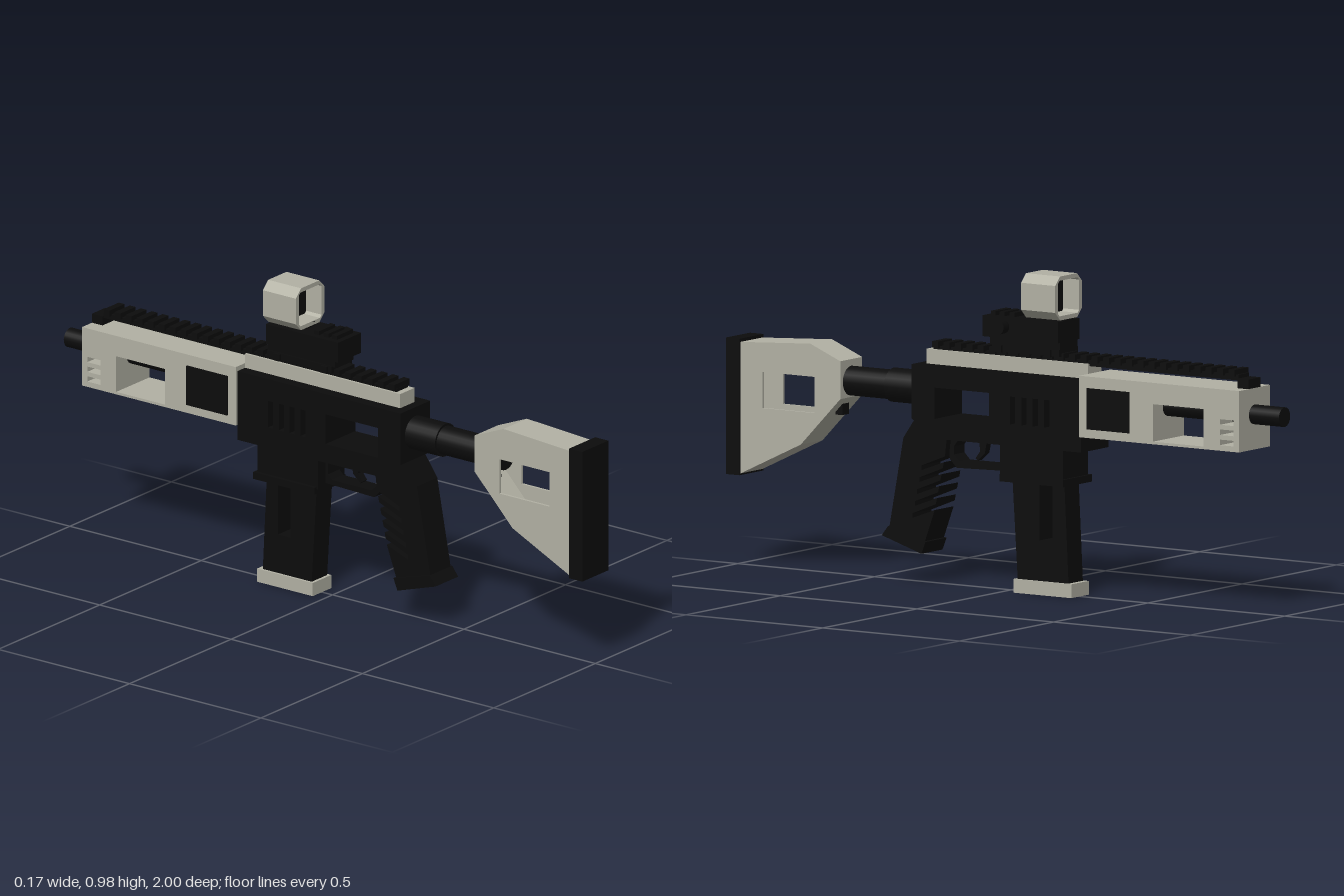
import * as THREE from 'three';

export function createModel() {
  const root = new THREE.Group();
  const black = new THREE.MeshStandardMaterial({ color: 0x0c0c0c });
  black.name = 'black';
  const grey = new THREE.MeshStandardMaterial({ color: 0xb2b1a4 });
  grey.name = 'warm grey';

  const add = (name, geo, mat) => {
    const m = new THREE.Mesh(geo, mat);
    m.name = name;
    root.add(m);
    return m;
  };
  // Box from ranges on each axis
  const box = (name, mat, [x0, x1], [y0, y1], [z0, z1]) => {
    const g = new THREE.BoxGeometry(x1 - x0, y1 - y0, z1 - z0);
    g.translate((x0 + x1) / 2, (y0 + y1) / 2, (z0 + z1) / 2);
    return add(name, g, mat);
  };
  const sym = h => [-h, h];
  const rect = (z0, z1, y0, y1) => [[z0, y0], [z1, y0], [z1, y1], [z0, y1]];
  const vec = pts => pts.map(p => new THREE.Vector2(p[0], p[1]));
  // Side profile of [z, y] points, extruded across x
  const side = (name, mat, pts, half, holes = [], x = 0) => {
    const s = new THREE.Shape(vec(pts));
    holes.forEach(h => s.holes.push(new THREE.Path(vec(h))));
    const g = new THREE.ExtrudeGeometry(s, { depth: half * 2, bevelEnabled: false });
    g.translate(0, 0, -half);
    g.rotateY(-Math.PI / 2);
    g.translate(x, 0, 0);
    return add(name, g, mat);
  };
  // Cylinder along z
  const tube = (name, mat, r, y, z0, z1) => {
    const g = new THREE.CylinderGeometry(r, r, z1 - z0, 24);
    g.rotateX(Math.PI / 2);
    g.translate(0, y, (z0 + z1) / 2);
    return add(name, g, mat);
  };

  // Stock: hollow shell with a window in each side plate
  const stock = [[0.95, 0.685], [0.695, 0.7], [0.585, 0.655], [0.585, 0.54], [0.73, 0.39], [0.95, 0.285]];
  const inner = [[0.95, 0.3], [0.735, 0.403], [0.597, 0.545], [0.597, 0.647], [0.697, 0.688], [0.95, 0.673]];
  side('stockRim', grey, [...stock, ...inner], 0.05);
  for (const s of [-1, 1]) {
    side('stockSide', grey, stock, 0.004, [rect(0.68, 0.87, 0.49, 0.6)], s * 0.054);
  }
  box('buttPad', black, sym(0.064), [0.28, 0.695], [0.95, 1]);
  box('stockLever', black, sym(0.018), [0.485, 0.52], [0.605, 0.63]);
  tube('bufferTube', black, 0.045, 0.59, 0.43, 0.66);
  tube('bufferTubeCollar', black, 0.052, 0.59, 0.3, 0.43);

  // Receiver with side window and four vent slots
  const slots = [0, 1, 2, 3].map(i => rect(-0.065 - i * 0.0415, -0.046 - i * 0.0415, 0.515, 0.6));
  side('receiver', black, [
    [0.315, 0.67], [-0.305, 0.67], [-0.305, 0.45], [0.22, 0.45], [0.315, 0.505]
  ], 0.073, [rect(0.03, 0.23, 0.51, 0.605), ...slots]);
  box('magazineWell', black, sym(0.066), [0.355, 0.45], [-0.235, -0.005]);
  box('magazineWellFlange', black, sym(0.077), [0.34, 0.362], [-0.243, -0.01]);

  // Trigger and guard
  side('triggerGuard', black, [[0.215, 0.46], [-0.01, 0.46], [-0.01, 0.365], [0.18, 0.36], [0.205, 0.385]], 0.028,
    [[[0.19, 0.425], [0.175, 0.445], [0.025, 0.445], [0.005, 0.43], [0.005, 0.395], [0.02, 0.38], [0.17, 0.38], [0.19, 0.4]]]);
  side('trigger', black, [[0.11, 0.45], [0.08, 0.45], [0.088, 0.41], [0.115, 0.385], [0.122, 0.392], [0.105, 0.415]], 0.012);

  // Grip, with slanted notches cut into its forward edge
  const edge = y => 0.2 + (0.43 - y) * 0.225;
  const grip = [[0.315, 0.505], [0.36, 0.44], [0.412, 0.16], [0.285, 0.12]];
  for (let i = 4; i >= 0; i--) {
    const y = 0.395 - i * 0.037;
    grip.push([edge(y - 0.018), y - 0.018], [edge(y) + 0.085, y - 0.048],
      [edge(y) + 0.085, y - 0.034], [edge(y), y]);
  }
  grip.push([0.2, 0.46]);
  side('grip', black, grip, 0.05);
  side('gripBase', black, [[0.412, 0.168], [0.435, 0.138], [0.29, 0.093], [0.275, 0.13]], 0.056);

  // Magazine
  side('magazine', black, [[-0.03, 0.36], [-0.05, 0.04], [-0.236, 0.04], [-0.22, 0.36]], 0.038,
    [rect(-0.178, -0.13, 0.165, 0.34)]);
  box('magazineBase', grey, sym(0.046), [0, 0.042], [-0.252, -0.04]);

  // Handguard with side opening, vents and dark panels
  const vents = [0.515, 0.546, 0.577].map(y => rect(-0.87, -0.82, y, y + 0.017));
  side('handguard', grey, rect(-0.89, -0.305, 0.498, 0.685), 0.082,
    [rect(-0.76, -0.575, 0.506, 0.62), ...vents]);
  for (const s of [-1, 1]) {
    const p = box('handguardPanel', black, [-0.004, 0.004], [0.525, 0.65], [-0.49, -0.335]);
    p.position.x = s * 0.083;
  }
  tube('barrel', black, 0.03, 0.605, -1, -0.3);

  // Top rail with evenly spaced teeth
  box('railBase', grey, sym(0.036), [0.67, 0.715], [-0.305, 0.285]);
  box('railBar', black, sym(0.028), [0.708, 0.725], [-0.85, 0.265]);
  for (let i = 0; i < 27; i++) {
    const z = 0.253 - i * 0.0417;
    box('railTooth', black, sym(0.037), [0.72, 0.74], [z - 0.011, z + 0.011]);
  }
  box('railEndBlock', black, sym(0.033), [0.685, 0.714], [-0.89, -0.85]);

  // Sight mount
  box('sightClamp', black, sym(0.05), [0.73, 0.752], [-0.21, 0.035]);
  box('sightStep', black, sym(0.046), [0.75, 0.775], [-0.21, 0.045]);
  box('sightBody', black, sym(0.057), [0.773, 0.837], [-0.21, 0.065]);
  box('sightNeck', black, sym(0.023), [0.835, 0.852], [-0.21, -0.085]);
  for (const z of [0.038, 0.006, -0.03]) {
    box('sightBump', black, sym(0.04), [0.835, 0.85], [z - 0.009, z + 0.009]);
  }
  for (const s of [-1, 1]) {
    for (const z of [0.01, -0.17]) {
      const b = box('clampBolt', black, sym(0.006), [0.728, 0.75], [z - 0.012, z + 0.012]);
      b.position.x = s * 0.052;
    }
  }
  const knob = new THREE.CylinderGeometry(0.022, 0.022, 0.04, 20);
  knob.rotateZ(Math.PI / 2);
  knob.translate(0.067, 0.809, -0.01);
  add('sightKnob', knob, black);

  // Sight hood: chamfered frame around a dark lens
  const oct = (w, h, c) => vec([[-w + c, -h], [w - c, -h], [w, -h + c], [w, h - c],
    [w - c, h], [-w + c, h], [-w, h - c], [-w, -h + c]]);
  const frame = new THREE.Shape(oct(0.071, 0.067, 0.026));
  frame.holes.push(new THREE.Path(oct(0.056, 0.054, 0.008)));
  const hood = new THREE.ExtrudeGeometry(frame, { depth: 0.125, bevelEnabled: false });
  hood.translate(0, 0.908, -0.21);
  add('sightHood', hood, grey);
  box('sightLens', black, sym(0.055), [0.855, 0.961], [-0.152, -0.144]);
  box('sightDot', grey, sym(0.003), [0.901, 0.907], [-0.145, -0.143]);

  return root;
}
